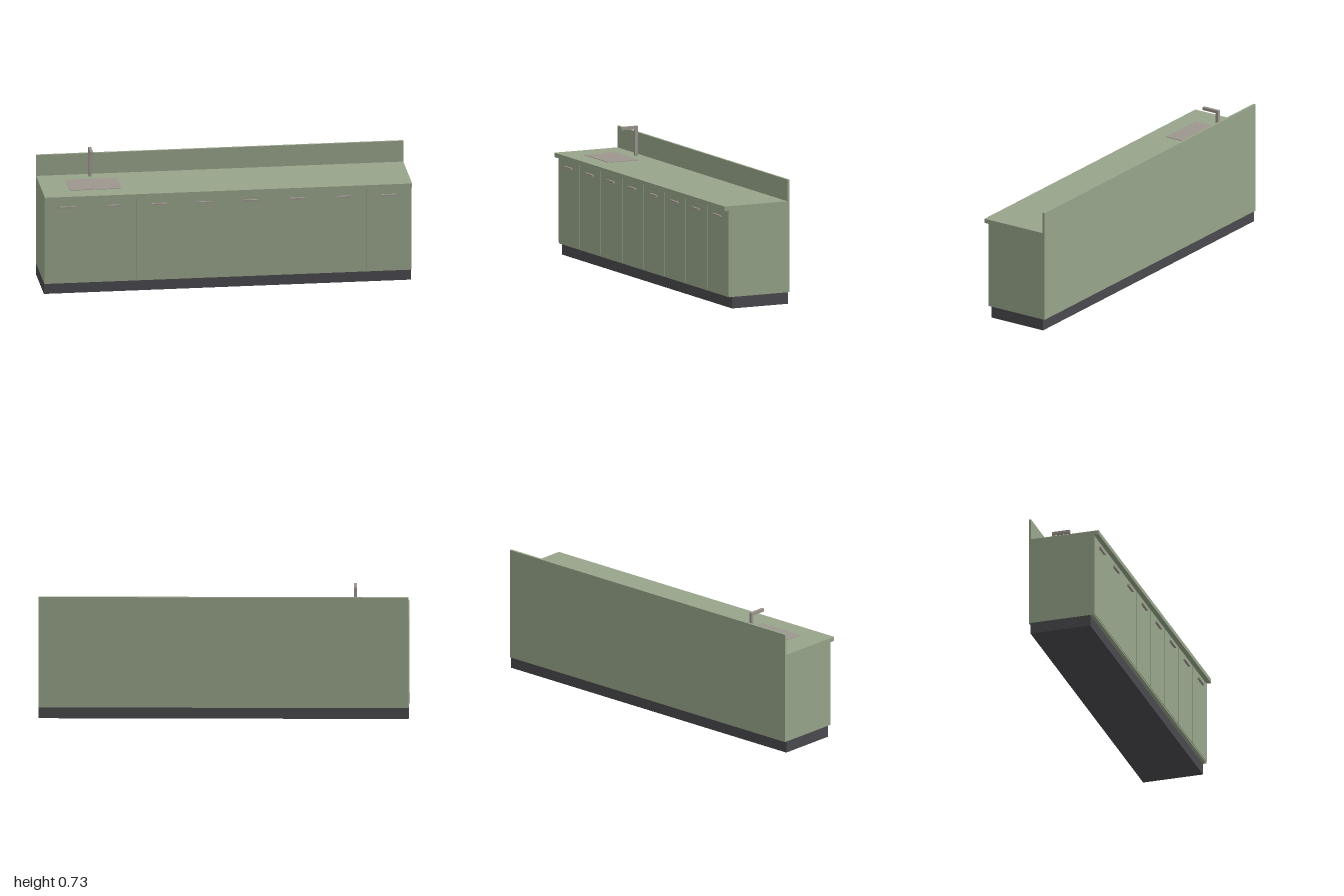
import * as THREE from 'three';

export function createModel() {
  const model = new THREE.Group();
  model.name = 'kitchenCounter';

  const material = (name, color) => {
    const m = new THREE.MeshStandardMaterial({ color });
    m.name = name;
    return m;
  };
  const green = material('sageGreen', 0x97a58a);
  const dark = material('charcoal', 0x4a494e);
  const metal = material('warmMetal', 0x9d968f);

  // Box given by its limits on each axis
  const box = (name, mat, [x0, x1], [y0, y1], [z0, z1], parent = model) => {
    const mesh = new THREE.Mesh(new THREE.BoxGeometry(x1 - x0, y1 - y0, z1 - z0), mat);
    mesh.position.set((x0 + x1) / 2, (y0 + y1) / 2, (z0 + z1) / 2);
    mesh.name = name;
    parent.add(mesh);
    return mesh;
  };

  // Plinth, carcass, worktop and backsplash
  const width = [-1, 1];
  box('plinth', dark, width, [0, 0.063], [-0.187, 0.152]);
  box('carcass', green, width, [0.063, 0.538], [-0.197, 0.172]);
  box('worktop', green, width, [0.538, 0.562], [-0.197, 0.199]);
  box('backsplash', green, width, [0.562, 0.68], [-0.197, -0.184]);

  // Row of eight doors, each with a bar handle
  const count = 8, pitch = 2 / count, gap = 0.003;
  for (let i = 0; i < count; i++) {
    const x = -1 + pitch * (i + 0.5);
    const unit = new THREE.Group();
    unit.name = `cabinetFront${i + 1}`;
    const half = pitch / 2 - gap;
    box('door', green, [x - half, x + half], [0.072, 0.533], [0.172, 0.175], unit);
    box('handle', metal, [x - 0.042, x + 0.042], [0.491, 0.5], [0.175, 0.187], unit);
    model.add(unit);
  }

  // Flat sink plate set on the worktop
  box('sink', metal, [-0.85, -0.57], [0.562, 0.5645], [-0.092, 0.093]);

  // Square-section tap: L profile extruded across x
  const profile = new THREE.Shape([
    [0.156, 0.562], [0.139, 0.562], [0.139, 0.708],
    [0.055, 0.708], [0.055, 0.725], [0.156, 0.725],
  ].map(([z, y]) => new THREE.Vector2(z, y)));
  const tap = new THREE.Mesh(
    new THREE.ExtrudeGeometry(profile, { depth: 0.016, bevelEnabled: false }), metal);
  tap.rotation.y = Math.PI / 2; // profile x becomes -z, depth becomes x
  tap.position.x = -0.72;
  tap.name = 'tap';
  model.add(tap);

  return model;
}
